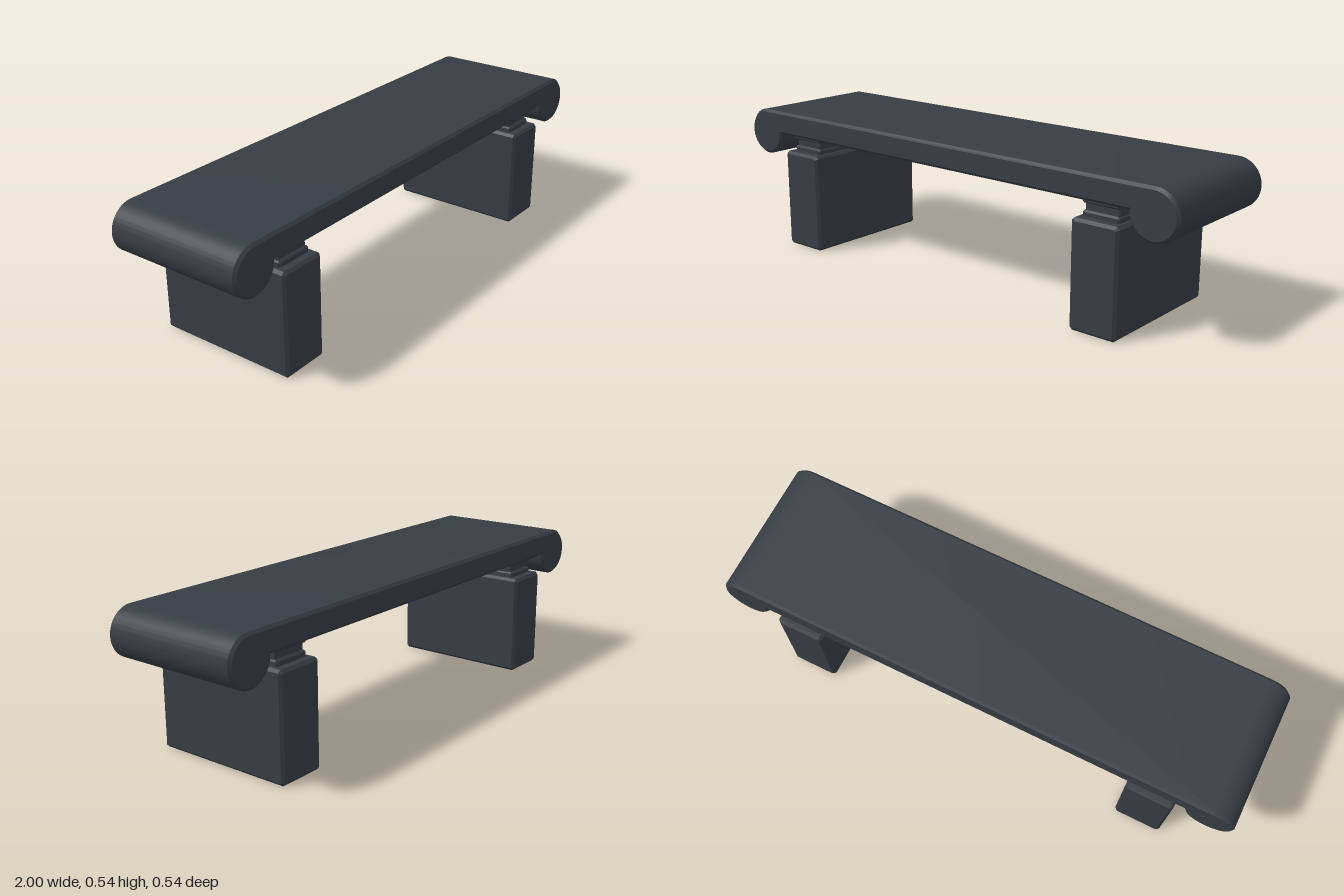
import * as THREE from 'three';
import { toCreasedNormals } from 'three/addons/utils/BufferGeometryUtils.js';

// Extrude a front profile along z, centred, with a single chamfer on both ends.
function extrudeChamfered(shape, depth, chamfer) {
  const geometry = new THREE.ExtrudeGeometry(shape, {
    depth: depth - 2 * chamfer, curveSegments: 32,
    bevelEnabled: true, bevelSegments: 1, bevelThickness: chamfer, bevelSize: chamfer, bevelOffset: -chamfer,
  });
  geometry.translate(0, 0, -depth / 2 + chamfer);
  return toCreasedNormals(geometry, 0.5);
}

// Rectangle with cut corners, standing on y0.
function cutRect(width, y0, y1, cut) {
  const w = width / 2;
  return new THREE.Shape([
    [-w + cut, y0], [w - cut, y0], [w, y0 + cut], [w, y1 - cut],
    [w - cut, y1], [-w + cut, y1], [-w, y1 - cut], [-w, y0 + cut],
  ].map(([x, y]) => new THREE.Vector2(x, y)));
}

export function createModel() {
  const bench = new THREE.Group();
  bench.name = 'bench';
  const charcoal = new THREE.MeshStandardMaterial({ color: 0x373d44 });
  charcoal.name = 'charcoal';

  const add = (parent, name, geometry) => {
    const mesh = new THREE.Mesh(geometry, charcoal);
    mesh.name = name;
    parent.add(mesh);
  };

  // Seat: a flat slab whose top runs tangent into a round roll at each end
  const R = 0.09, CX = 0.91, CY = 0.447;
  const seat = new THREE.Shape();
  seat.moveTo(-CX + R, CY);
  seat.lineTo(CX - R, CY);
  seat.absarc(CX, CY, R, Math.PI, Math.PI * 2.5, false);
  seat.lineTo(-CX, CY + R);
  seat.absarc(-CX, CY, R, Math.PI / 2, Math.PI * 2, false);
  add(bench, 'seat', extrudeChamfered(seat, 0.532, 0.01));

  // Legs: a chamfered block with a stepped neck under the seat
  for (const side of [-1, 1]) {
    const leg = new THREE.Group();
    leg.name = side > 0 ? 'leftLeg' : 'rightLeg';
    leg.position.x = side * 0.7;
    add(leg, 'legBlock', extrudeChamfered(cutRect(0.182, 0, 0.385, 0.01), 0.54, 0.01));
    add(leg, 'neckStep', extrudeChamfered(cutRect(0.142, 0.37, 0.406, 0.006), 0.47, 0.006));
    add(leg, 'neck', extrudeChamfered(cutRect(0.132, 0.38, 0.44, 0.004), 0.45, 0.004));
    add(leg, 'neckCap', extrudeChamfered(cutRect(0.144, 0.43, 0.455, 0.005), 0.47, 0.005));
    bench.add(leg);
  }
  return bench;
}
